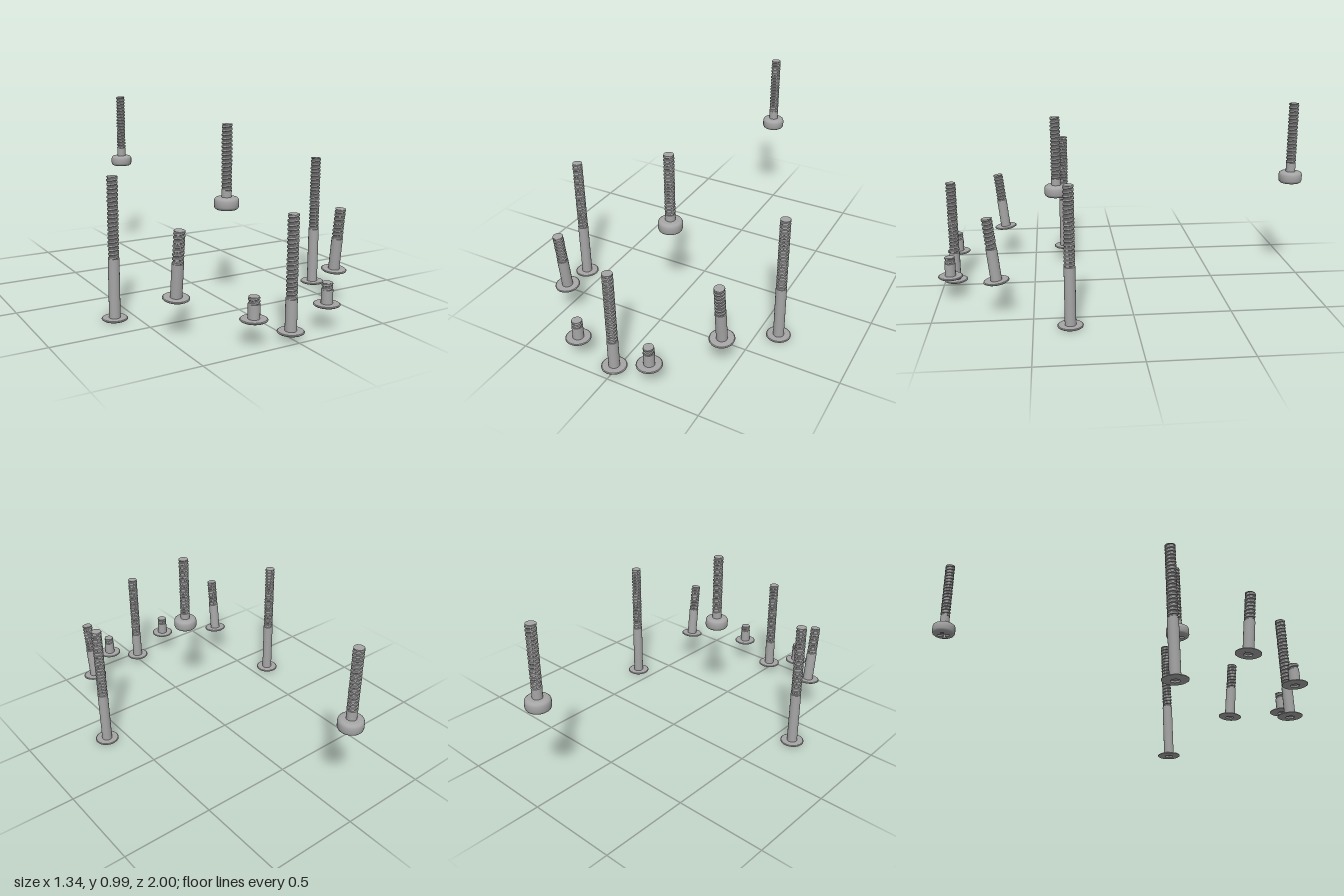
import * as THREE from 'three';
import { toCreasedNormals } from 'three/addons/utils/BufferGeometryUtils.js';

const steel = new THREE.MeshStandardMaterial({ color: 0xa6a6a6 });
steel.name = 'steel grey';

const SHANK = 0.028, CREST = 0.027, ROOT = 0.0225, PITCH = 0.02, HEAD = 0.064;

function addPart(group, name, geometry, y = 0) {
  const mesh = new THREE.Mesh(geometry, steel);
  mesh.name = name;
  mesh.position.y = y;
  group.add(mesh);
  return mesh;
}

const lathe = (points) => toCreasedNormals(
  new THREE.LatheGeometry(points.map(([r, y]) => new THREE.Vector2(r, y)), 32), 0.6);

// Right-handed helical thread: profile rows follow the helix and are clamped at both ends
function threadGeometry(length) {
  const profile = [[0, ROOT], [0.25, ROOT], [0.42, CREST], [0.83, CREST]];
  const sides = 24, n = profile.length, turns = Math.ceil(length / PITCH) + 1;
  const positions = [], index = [];
  const rows = (turns + 1) * n;
  for (let i = 0; i <= rows; i++) {
    const [offset, r] = profile[i % n];
    const base = (Math.floor(i / n) - 1 + offset) * PITCH;
    for (let j = 0; j <= sides; j++) {
      const t = (j / sides) * Math.PI * 2;
      const y = THREE.MathUtils.clamp(base + (PITCH * j) / sides, 0, length);
      positions.push(r * Math.cos(t), y, -r * Math.sin(t));
    }
  }
  const height = (k) => positions[k * 3 + 1];
  for (let i = 0; i < rows; i++) {
    for (let j = 0; j < sides; j++) {
      const a = i * (sides + 1) + j, b = a + 1, c = a + sides + 1, d = c + 1;
      // Skip quads lying wholly beyond an end
      if (height(d) <= 0 || height(a) >= length) continue;
      index.push(a, b, d, a, d, c);
    }
  }
  const geometry = new THREE.BufferGeometry();
  geometry.setAttribute('position', new THREE.Float32BufferAttribute(positions, 3));
  geometry.setIndex(index);
  return toCreasedNormals(geometry, 0.4);
}

// Disc with a tool recess cut through it, facing down, with its underside at y = 0
function recessedDisc(radius, depth, recessPoints) {
  const shape = new THREE.Shape().absarc(0, 0, radius, 0, Math.PI * 2);
  shape.holes.push(new THREE.Path(recessPoints));
  const geometry = new THREE.ExtrudeGeometry(shape, { depth, bevelEnabled: false, curveSegments: 32 });
  return geometry.rotateX(-Math.PI / 2);
}

// Outline of a hexagonal socket
function hexPoints(r) {
  return Array.from({ length: 6 }, (_, i) =>
    new THREE.Vector2(r * Math.cos(i * Math.PI / 3), r * Math.sin(i * Math.PI / 3)));
}

// Outline of a cross-shaped recess
function crossPoints(r, w) {
  const points = [];
  for (let i = 0; i < 4; i++) {
    for (const [x, y] of [[r, -w], [r, w], [w, w]]) {
      points.push(new THREE.Vector2(x, y).rotateAround(new THREE.Vector2(), i * Math.PI / 2));
    }
  }
  return points;
}

// Shared top half of every bolt: plain shank, thread and flat tip
function addShaft(bolt, shankRadius, start, shankEnd, top) {
  addPart(bolt, 'shank', new THREE.CylinderGeometry(shankRadius, shankRadius, shankEnd - start, 32),
    (start + shankEnd) / 2);
  addPart(bolt, 'thread', threadGeometry(top - shankEnd), shankEnd);
  addPart(bolt, 'tip', new THREE.CylinderGeometry(0.0255, 0.0255, 0.002, 32), top - 0.001);
}

// Bolt with a thin, wide flange head and a hexagonal socket underneath
function flangeBolt(shankEnd, top) {
  const bolt = new THREE.Group();
  addPart(bolt, 'flangeHead', lathe([
    [0.036, 0], [0.058, 0.001], [HEAD, 0.005], [HEAD, 0.008], [0.06, 0.011], [0.001, 0.012],
  ]));
  addPart(bolt, 'hexSocket', recessedDisc(0.036, 0.009, hexPoints(0.024)));
  addShaft(bolt, SHANK, 0.01, shankEnd, top);
  return bolt;
}

// Bolt with a thick rounded head and a cross recess underneath
function panBolt(neckEnd, top) {
  const bolt = new THREE.Group();
  addPart(bolt, 'panHead', lathe([
    [0.042, 0], [0.052, 0.002], [0.06, 0.008], [HEAD, 0.018], [HEAD, 0.048],
    [0.061, 0.057], [0.054, 0.063], [0.044, 0.065], [0.001, 0.065],
  ]));
  addPart(bolt, 'crossRecess', recessedDisc(0.042, 0.025, crossPoints(0.034, 0.009)));
  addPart(bolt, 'recessFloor', new THREE.CylinderGeometry(0.042, 0.042, 0.002, 32), 0.026);
  addShaft(bolt, 0.026, 0.06, neckEnd, top);
  return bolt;
}

export function createModel() {
  const model = new THREE.Group();
  model.name = 'boltSet';

  const place = (name, bolt, x, y, z, tilt = 0) => {
    bolt.name = name;
    bolt.position.set(x, y, z);
    bolt.rotation.x = tilt;
    model.add(bolt);
  };

  // Mirrored pairs
  for (const [side, s] of [['left', 1], ['right', -1]]) {
    place(side + 'LongBolt', flangeBolt(0.31, 0.71), s * 0.604, 0, 0.32);
    place(side + 'TiltedBolt', flangeBolt(0.175, 0.33), s * 0.455, 0.187, 0.677, 0.108);
    place(side + 'ShortBolt', flangeBolt(0.08, 0.113), s * 0.204, 0.123, 0.934);
  }

  // Bolts on the centre line
  place('frontBolt', flangeBolt(0.165, 0.557), 0, 0.027, 0.934);
  place('middleBolt', panBolt(0.1, 0.435), 0, 0.495, 0.37);
  place('rearBolt', panBolt(0.115, 0.445), 0, 0.54, -0.935);

  return model;
}
